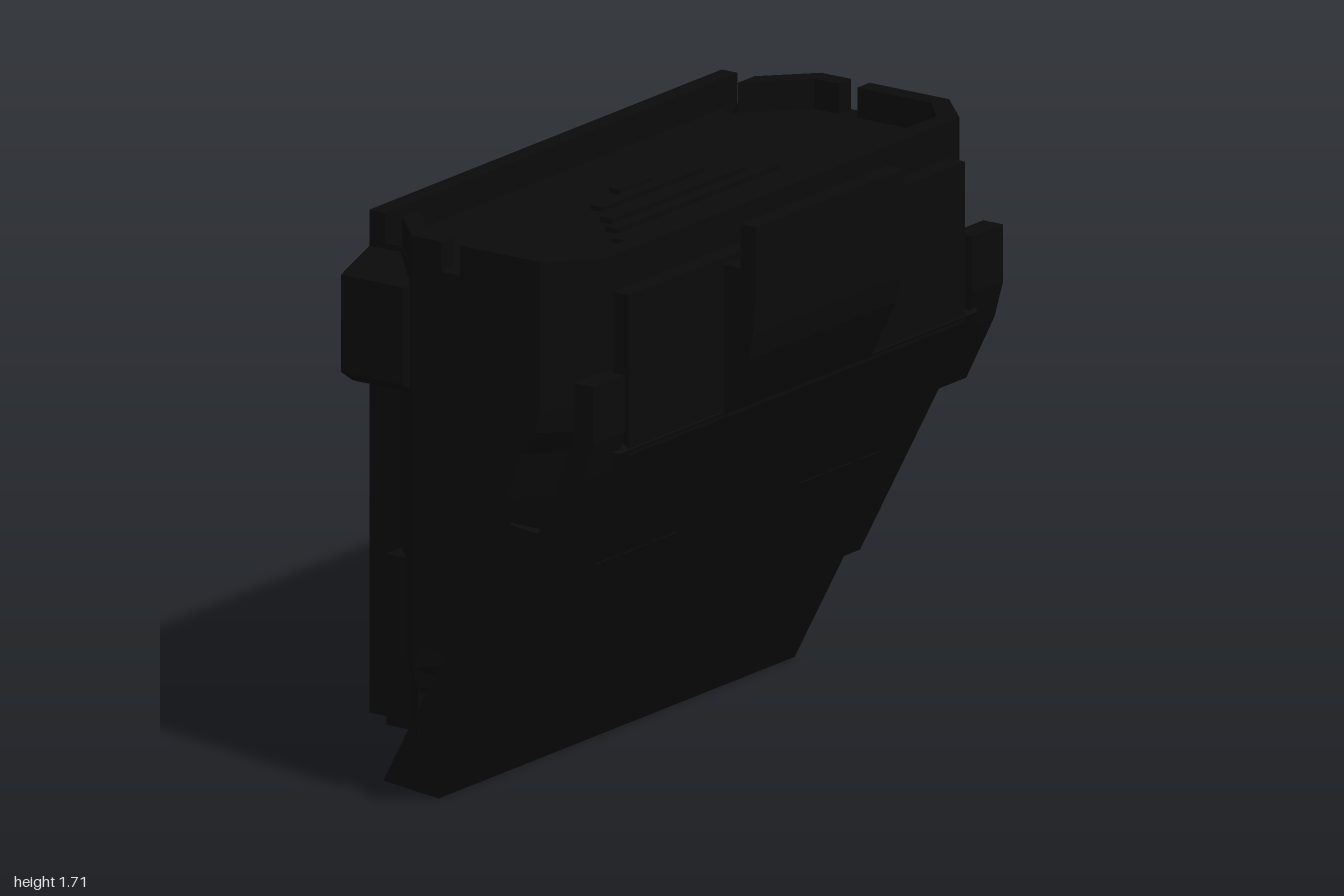
import * as THREE from 'three';

export function createModel() {
  const model = new THREE.Group();
  const black = new THREE.MeshStandardMaterial({ color: 0x0b0b0b });
  black.name = 'matte black';

  const add = (name, geo) => {
    const mesh = new THREE.Mesh(geo, black);
    mesh.name = name;
    model.add(mesh);
    return mesh;
  };
  const shapeOf = (pts) => new THREE.Shape(pts.map(([a, b]) => new THREE.Vector2(a, b)));
  const extrude = (shape, depth, steps = 1) =>
    new THREE.ExtrudeGeometry(shape, { depth, steps, bevelEnabled: false });

  // side profile given as [z, y], swept across x0..x1
  const sweepX = (name, pts, x0, x1) => {
    const geo = extrude(shapeOf(pts), x1 - x0);
    geo.rotateY(-Math.PI / 2).translate(x1, 0, 0);
    return add(name, geo);
  };
  // plan outline given as [x, z], raised from y0 to y1
  const raise = (name, pts, y0, y1) =>
    add(name, extrude(shapeOf(pts), y1 - y0).rotateX(Math.PI / 2).translate(0, y1, 0));
  // box given by its limits
  const block = (name, x0, x1, y0, y1, z0, z1) => {
    const geo = new THREE.BoxGeometry(x1 - x0, y1 - y0, z1 - z0);
    geo.translate((x0 + x1) / 2, (y0 + y1) / 2, (z0 + z1) / 2);
    return add(name, geo);
  };
  // sloped plate whose side edges flare out towards its back face
  const tilt = Math.atan(0.525);
  const slopedPlate = (name, front, rear, thick, length, y, z) => {
    const section = shapeOf([[-front, 0], [front, 0], [rear, thick], [-rear, thick]]);
    const geo = extrude(section, length).rotateX(-Math.PI / 2).rotateX(tilt);
    return add(name, geo.translate(0, y, z));
  };

  // body: plan with cut corners and two narrow shafts, front pulled in towards the bottom
  const half = [[0.86, -0.5], [0.86, -0.39], [1, -0.25], [1, 0.2], [0.87, 0.33]];
  const plan = shapeOf([...half, ...half.map(([x, z]) => [-x, z]).reverse()]);
  for (const s of [-1, 1]) {
    const shaft = new THREE.Path();
    shaft.moveTo(s * 0.77, -0.44).lineTo(s * 0.85, -0.44).lineTo(s * 0.85, -0.39).lineTo(s * 0.77, -0.39).closePath();
    plan.holes.push(shaft);
  }
  const slope = [[0.12, -0.33], [0.95, 0.2], [1.13, 0.27], [1.22, 0.33], [2, 0.33]];
  const frontAt = (y) => {
    const i = slope.findIndex(([h]) => h > y);
    const [[y0, z0], [y1, z1]] = [slope[i - 1], slope[i]];
    return z0 + (z1 - z0) * (y - y0) / (y1 - y0);
  };
  const body = extrude(plan, 1.41, 20).rotateX(Math.PI / 2).translate(0, 1.62, 0);
  const p = body.attributes.position;
  for (let i = 0; i < p.count; i++) {
    const y = p.getY(i), z = p.getZ(i), f = frontAt(y);
    if (z > 0.3) p.setZ(i, f);
    else if (z > 0.1) p.setZ(i, Math.max(-0.25, f - 0.13));
    if (y < 0.39) p.setX(i, THREE.MathUtils.clamp(p.getX(i), -0.97, 0.97));
  }
  body.computeVertexNormals();
  add('body', body);
  sweepX('bodyFoot', [[-0.44, 0.21], [-0.4, 0.13], [-0.36, 0.12], [-0.28, 0.25], [-0.38, 0.3]], -0.76, 0.76);

  // raised rim around the top tray, with gaps
  block('rimBack', -0.86, 0.86, 1.61, 1.71, -0.5, -0.445);
  for (const s of [-1, 1]) {
    const mirror = (pts) => pts.map(([x, z]) => [s * x, z]);
    raise('rimFront', mirror([[1, -0.08], [1, 0.2], [0.87, 0.33], [0, 0.33], [0, 0.27],
      [0.84, 0.27], [0.94, 0.18], [0.94, -0.08]]), 1.61, 1.71);
    raise('rimRearCorner', mirror([[1, -0.145], [1, -0.25], [0.86, -0.385], [0.78, -0.385],
      [0.94, -0.23], [0.94, -0.145]]), 1.61, 1.71);
  }
  block('frontLedge', -0.82, 0.82, 1.12, 1.6, 0.32, 0.385);

  // stepped ribs on the top tray
  [[-0.2, 0.08], [-0.14, 0.25], [-0.05, 0.33], [0.02, 0.4], [0.1, 0.48], [0.18, 0.56]]
    .forEach(([z, w]) => block('topRib', -w, w, 1.61, 1.635, z - 0.02, z + 0.02));

  // lower plate and the shorter plate laid over it
  slopedPlate('lowerPlate', 0.87, 0.98, 0.13, 0.95, 0, -0.25);
  slopedPlate('upperPlate', 0.87, 0.98, 0.07, 0.88, 0.36, -0.02);

  // curved centre panel on the front
  sweepX('centrePanel', [[0.33, 1.05], [0.35, 1.06], [0.44, 1.24], [0.475, 1.31], [0.49, 1.39], [0.5, 1.5],
    [0.5, 1.71], [0.445, 1.71], [0.445, 1.58], [0.33, 1.58]], -0.36, 0.36);

  for (const s of [-1, 1]) {
    const span = (a, b) => [Math.min(s * a, s * b), Math.max(s * a, s * b)];
    // side guards beside the front plate
    sweepX('sideGuard', [[0.2, 0.9], [0.26, 0.89], [0.36, 1.09], [0.39, 1.2], [0.39, 1.37],
      [0.32, 1.37], [0.32, 1.2]], ...span(0.85, 1));
    // chamfered blocks on the rear corners
    const ear = shapeOf([[s * 0.84, 1.22], [s * 0.94, 1.22], [s, 1.26], [s, 1.55], [s * 0.84, 1.61]]);
    add('cornerBlock', extrude(ear, 0.22).translate(0, 0, -0.5));
    // upright strip below each block
    block('cornerStrip', ...span(0.85, 0.93), 0.21, 0.72, -0.39, -0.28);
    // slots on the back
    for (let i = 0; i < 4; i++) {
      const x = s * (0.26 + i * 0.1);
      block('backSlot', x - 0.02, x + 0.02, 1.2, 1.33, -0.502, -0.496);
    }
    // small pads on the sloped front
    for (let i = 0; i < 3; i++) {
      const pad = new THREE.BoxGeometry(0.11, 0.05, 0.008);
      pad.rotateX(tilt).translate(s * (0.36 + i * 0.14), 0.71, 0.163);
      add('frontPad', pad);
    }
    // ribs joining body and plate underneath
    for (const x of [0.25, 0.7]) {
      sweepX('underRib', [[-0.42, 0.22], [-0.38, 0.09], [-0.3, 0.12], [-0.3, 0.22]], s * x - 0.03, s * x + 0.03);
    }
  }

  // thin panel on the back
  block('backPanel', -0.5, 0.5, 0.5, 1, -0.502, -0.497);

  return model;
}
